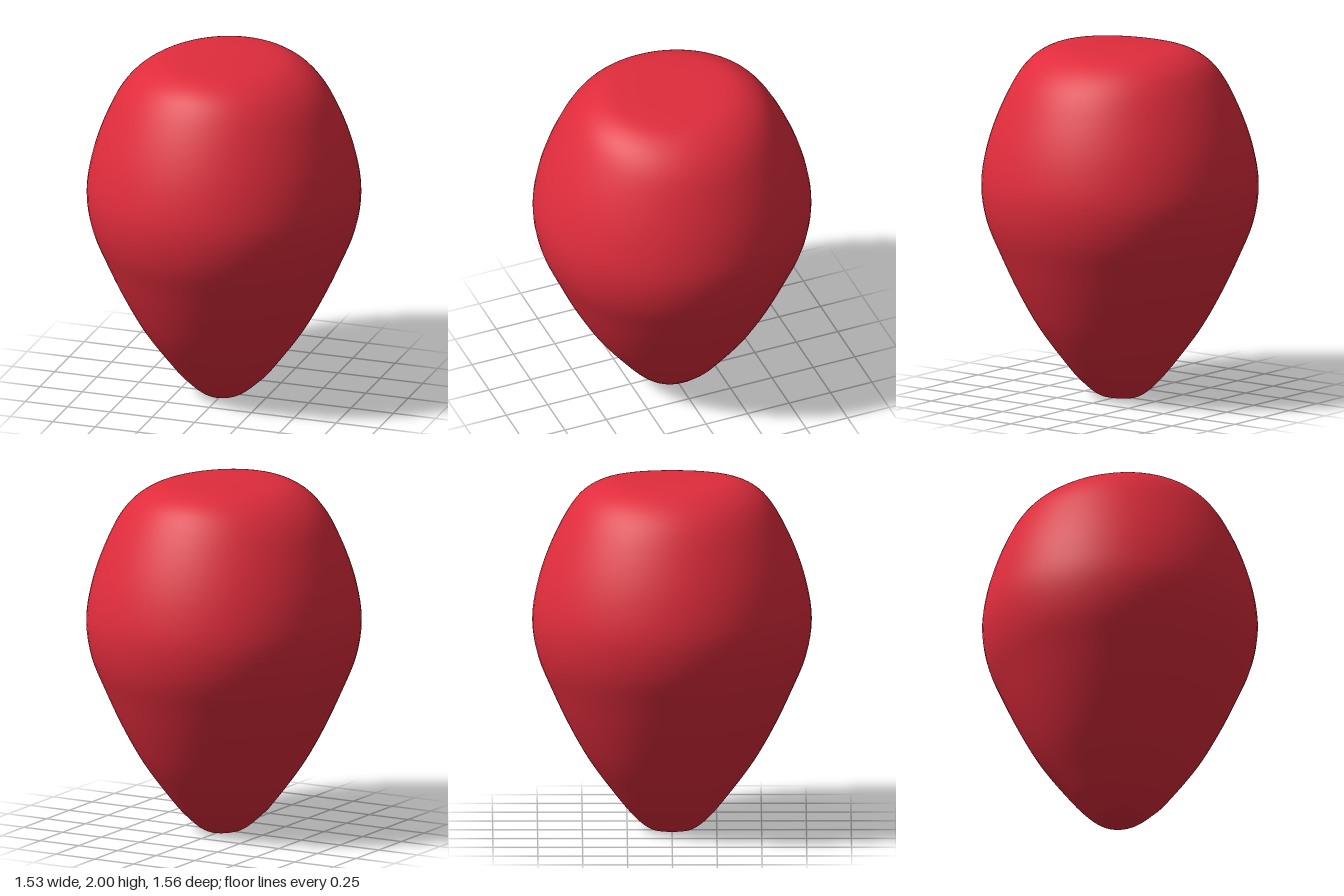
import * as THREE from 'three';
import { mergeVertices } from 'three/addons/utils/BufferGeometryUtils.js';

// Half profile as [radius, height], from the bottom centre to the top centre
const PROFILE = [
  [0, 0], [0.05, 0], [0.1, 0.004], [0.15, 0.03], [0.215, 0.09], [0.305, 0.2], [0.45, 0.4], [0.562, 0.6],
  [0.655, 0.8], [0.735, 1], [0.765, 1.2], [0.738, 1.4], [0.675, 1.6], [0.58, 1.8], [0.51, 1.9],
  [0.44, 1.955], [0.36, 1.987], [0.25, 1.998], [0.12, 2], [0, 2],
];
const DEPTH = 0.78 / 0.765; // slightly deeper than wide

export function createModel() {
  const group = new THREE.Group();
  group.name = 'balloon';

  // Smooth turned body
  const curve = new THREE.CatmullRomCurve3(PROFILE.map(([r, y]) => new THREE.Vector3(r, y, 0)));
  const points = curve.getPoints(76).map((p) => new THREE.Vector2(Math.max(p.x, 0), THREE.MathUtils.clamp(p.y, 0, 2)));
  let geometry = new THREE.LatheGeometry(points, 64);

  // Widen in depth, and let both flat caps fall away gently towards the sides
  const pos = geometry.attributes.position;
  for (let i = 0; i < pos.count; i++) {
    const x = pos.getX(i), y = pos.getY(i);
    const top = THREE.MathUtils.smoothstep(y, 1.75, 2);
    const bottom = 1 - THREE.MathUtils.smoothstep(y, 0, 0.15);
    pos.setY(i, y - 0.12 * x * x * top + 0.5 * x * x * bottom);
    pos.setZ(i, pos.getZ(i) * DEPTH);
  }

  // Weld the seam so the shading is continuous
  geometry.deleteAttribute('uv');
  geometry.deleteAttribute('normal');
  geometry = mergeVertices(geometry, 1e-5);
  geometry.computeVertexNormals();

  const body = new THREE.Mesh(geometry, new THREE.MeshStandardMaterial({ color: 0xe02c3c }));
  body.name = 'balloonBody';
  group.add(body);
  return group;
}
